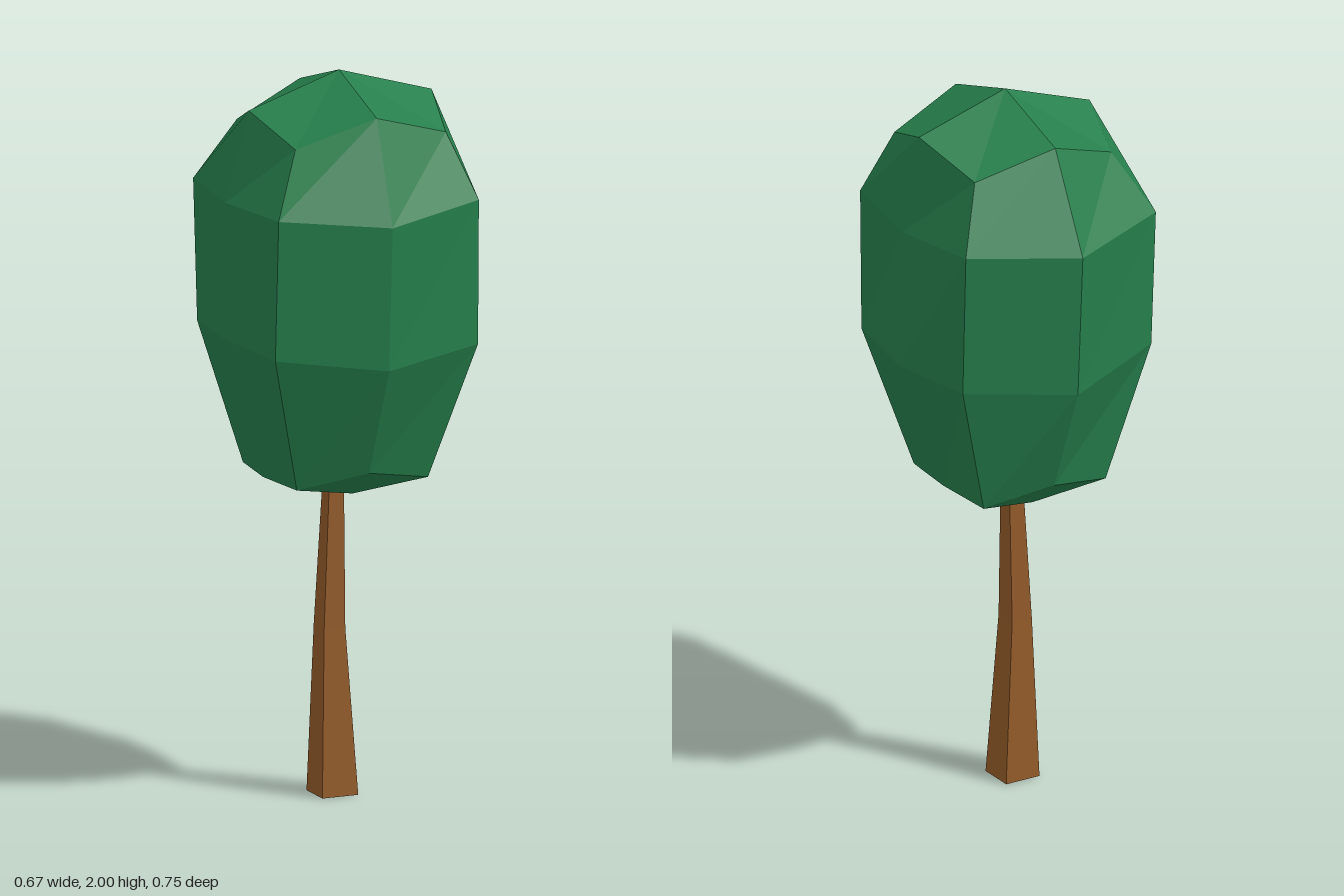
import * as THREE from 'three';

// Builds a faceted mesh from corner points and counter-clockwise polygons
function facetedMesh(name, points, polygons, material) {
  const position = [];
  for (const poly of polygons) {
    for (let i = 1; i < poly.length - 1; i++) {
      position.push(...points[poly[0]], ...points[poly[i]], ...points[poly[i + 1]]);
    }
  }
  const geometry = new THREE.BufferGeometry();
  geometry.setAttribute('position', new THREE.Float32BufferAttribute(position, 3));
  geometry.computeVertexNormals();
  const mesh = new THREE.Mesh(geometry, material);
  mesh.name = name;
  return mesh;
}

// Quads joining stacked rings of n points, listed from the top ring down
function wallQuads(ringCount, n) {
  const quads = [];
  for (let r = 0; r < ringCount - 1; r++) {
    for (let j = 0; j < n; j++) {
      const k = (j + 1) % n;
      quads.push([(r + 1) * n + j, (r + 1) * n + k, r * n + k, r * n + j]);
    }
  }
  return quads;
}

export function createModel() {
  const leafGreen = new THREE.MeshStandardMaterial({ color: 0x267f4c, flatShading: true });
  leafGreen.name = 'leafGreen';
  const barkBrown = new THREE.MeshStandardMaterial({ color: 0x935b29, flatShading: true });
  barkBrown.name = 'barkBrown';

  const tree = new THREE.Group();
  tree.name = 'tree';

  // Crown: four eight-sided rings, each running front, left, back, right
  const rings = [
    [[0, 1.92, 0.27], [0.225, 1.85, 0.22], [0.272, 1.92, 0.02], [0.22, 1.85, -0.18],
      [0, 1.92, -0.235], [-0.21, 1.84, -0.18], [-0.26, 1.91, 0.01], [-0.21, 1.84, 0.205]],
    [[0, 1.64, 0.375], [0.293, 1.67, 0.285], [0.325, 1.655, 0.02], [0.293, 1.67, -0.252],
      [0, 1.65, -0.375], [-0.305, 1.67, -0.255], [-0.333, 1.665, 0.02], [-0.3, 1.67, 0.297]],
    [[0, 1.24, 0.352], [0.295, 1.27, 0.275], [0.335, 1.265, 0.02], [0.295, 1.27, -0.24],
      [0, 1.24, -0.35], [-0.3, 1.28, -0.24], [-0.337, 1.29, 0.02], [-0.3, 1.28, 0.275]],
    [[0, 0.93, 0.22], [0.195, 0.89, 0.17], [0.208, 0.892, 0], [0.195, 0.89, -0.185],
      [0, 0.93, -0.23], [-0.19, 0.89, -0.185], [-0.213, 0.892, 0], [-0.19, 0.89, 0.17]],
  ];
  const crownPoints = [...rings.flat(), [0, 2, 0.02], [0, 0.85, 0.11], [0, 0.84, -0.12]];
  const peak = 32, keelFront = 33, keelBack = 34, low = 24;
  const crownFaces = wallQuads(4, 8);

  // Crown top: four facets meeting at the peak
  for (let j = 0; j < 8; j += 2) crownFaces.push([peak, j, j + 1, (j + 2) % 8]);

  // Crown underside: two ends and two flanks folded along a short keel
  crownFaces.push(
    [keelFront, low + 1, low, low + 7],
    [keelBack, low + 3, low + 2, low + 1, keelFront],
    [keelBack, low + 5, low + 4, low + 3],
    [keelFront, low + 7, low + 6, low + 5, keelBack],
  );
  tree.add(facetedMesh('crown', crownPoints, crownFaces, leafGreen));

  // Trunk: tapering, slightly bent square sections [y, xMin, xMax, zMin, zMax]
  const sections = [
    [0.9, -0.024, 0.017, -0.028, 0.015],
    [0.46, -0.047, 0.015, -0.04, 0.029],
    [0, -0.06, 0.045, -0.058, 0.047],
  ];
  const trunkPoints = sections.flatMap(([y, x0, x1, z0, z1]) =>
    [[x0, y, z1], [x1, y, z1], [x1, y, z0], [x0, y, z0]]);
  const trunkFaces = [...wallQuads(3, 4), [0, 1, 2, 3], [11, 10, 9, 8]];
  tree.add(facetedMesh('trunk', trunkPoints, trunkFaces, barkBrown));

  return tree;
}
